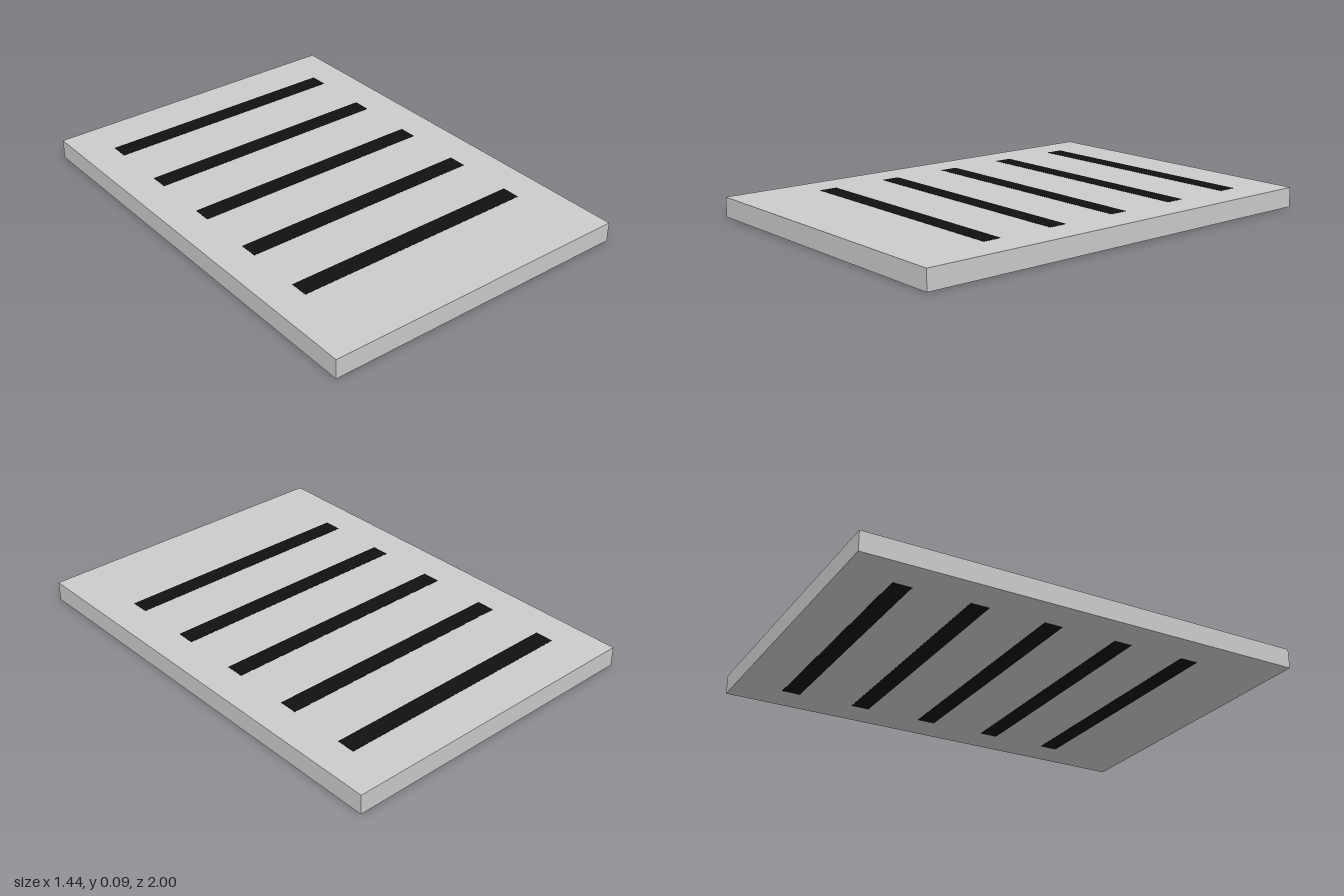
import * as THREE from 'three';

export function createModel() {
  const group = new THREE.Group();
  const height = 0.09;
  const grey = new THREE.MeshStandardMaterial({ color: 0xcccccc });
  const black = new THREE.MeshStandardMaterial({ color: 0x111111 });

  const addBox = (name, w, h, d, z, material) => {
    const mesh = new THREE.Mesh(new THREE.BoxGeometry(w, h, d), material);
    mesh.name = name;
    mesh.position.set(0, height / 2, z);
    group.add(mesh);
  };

  // Flat panel
  addBox('panel', 1.44, height - 0.002, 2, 0, grey);

  // Evenly spaced dark slots, visible on both faces and set towards the back
  for (let i = 0; i < 5; i++) {
    addBox(`slot${i + 1}`, 1.138, height, 0.083, -0.753 + i * 0.3335, black);
  }
  return group;
}
